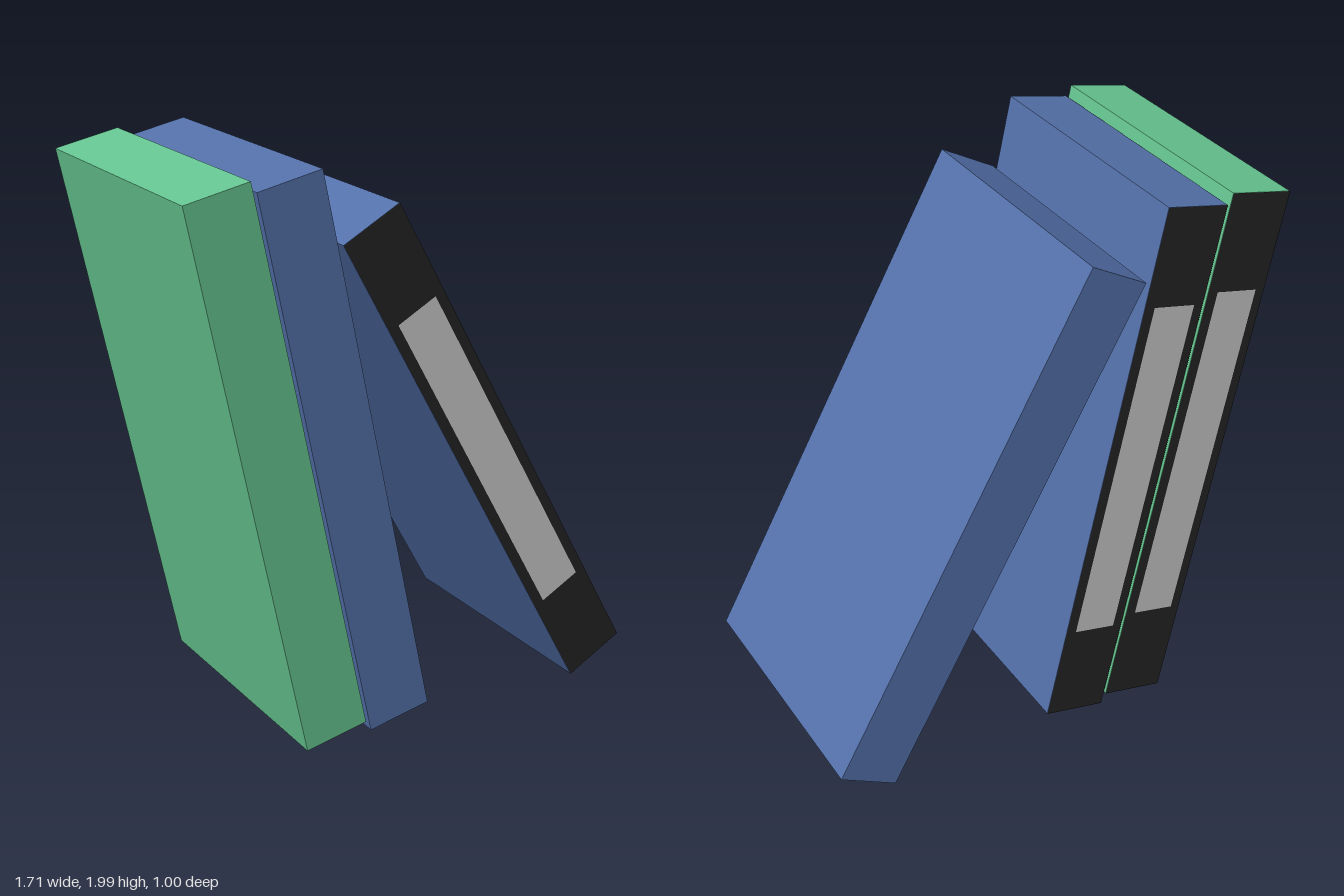
import * as THREE from 'three';

const WIDTH = 0.235, HEIGHT = 1.977, DEPTH = 0.988;

const paint = (color) => new THREE.MeshStandardMaterial({ color });

function addMesh(parent, name, geometry, material, z = 0) {
  const mesh = new THREE.Mesh(geometry, material);
  mesh.name = name;
  mesh.position.z = z;
  parent.add(mesh);
}

export function createModel() {
  const model = new THREE.Group();
  model.name = 'leaningBinders';

  const green = paint(0x66c691);
  const blue = paint(0x5471ab);
  const black = paint(0x242424);
  const grey = paint(0xcccccc);

  const cover = new THREE.BoxGeometry(WIDTH, HEIGHT, DEPTH);
  const spine = new THREE.PlaneGeometry(WIDTH, HEIGHT);
  const label = new THREE.PlaneGeometry(0.161, 1.273);

  // One binder: coloured cover, black spine and a grey label on the spine
  function addBinder(name, material, x, y, lean, spineAtBack) {
    const binder = new THREE.Group();
    binder.name = name;
    addMesh(binder, 'cover', cover, material);
    addMesh(binder, 'spine', spine, black, DEPTH / 2 + 0.002);
    addMesh(binder, 'label', label, grey, DEPTH / 2 + 0.004);

    // Turn the spine to the back before leaning the binder
    binder.rotation.order = 'ZYX';
    binder.rotation.set(0, spineAtBack ? Math.PI : 0, lean);
    binder.position.set(x, y, 0);
    model.add(binder);
  }

  addBinder('greenBinder', green, -0.54, 0.997, 0.209, true);
  addBinder('blueBinder', blue, -0.29, 1.009, 0.209, true);
  addBinder('leaningBlueBinder', blue, 0.273, 0.94, 0.505, false);

  return model;
}
